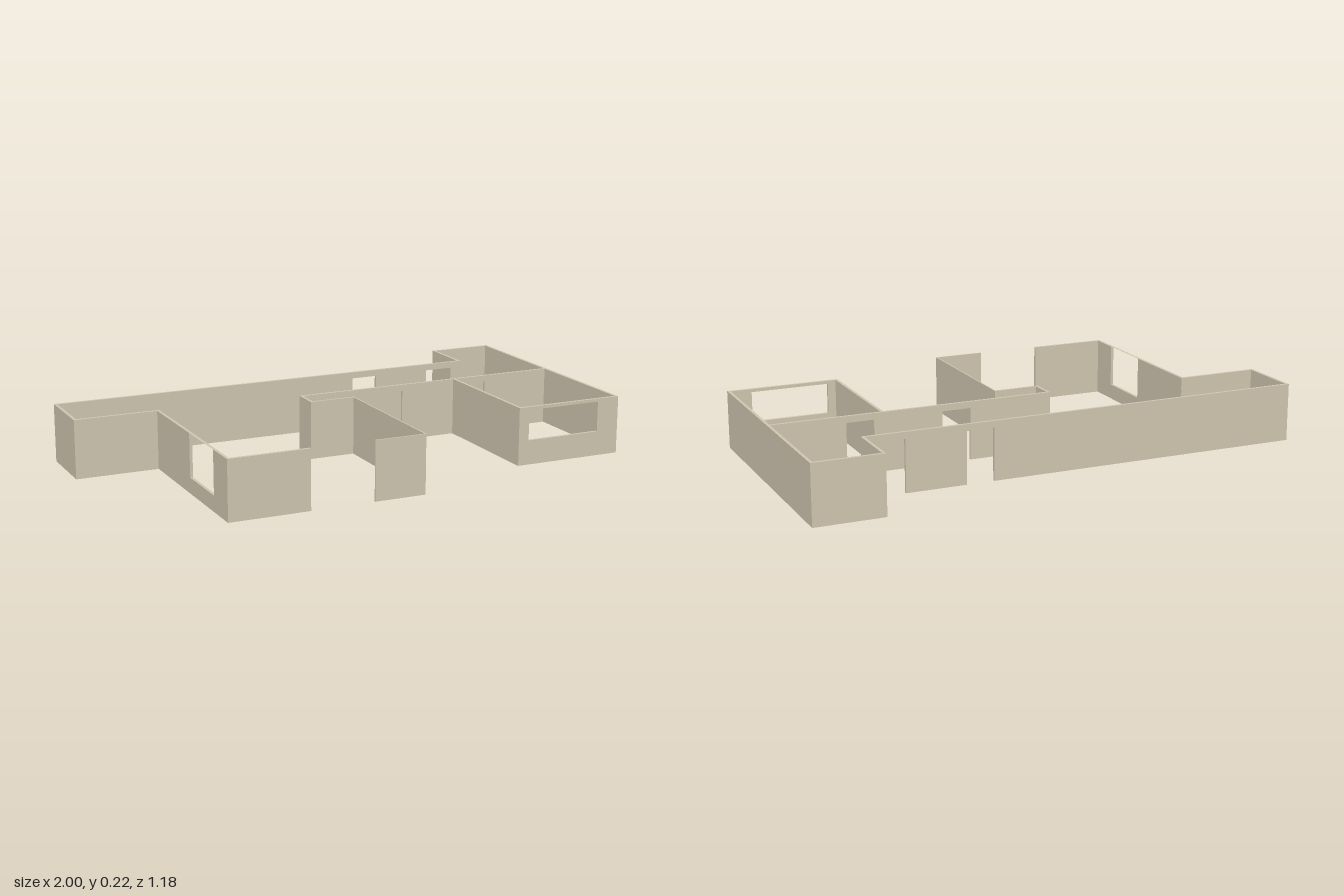
import * as THREE from 'three';

const H = 0.225;      // wall height
const DOOR = 0.2;     // door head height
const T = 0.011;      // standard wall thickness
const THIN = 0.005;   // thin partition thickness

const plaster = new THREE.MeshStandardMaterial({ color: 0xd0c6b0 });
plaster.name = 'plaster';

function hole(a, b, y0, y1) {
  const p = new THREE.Path();
  p.moveTo(a, y0);
  p.lineTo(a, y1);
  p.lineTo(b, y1);
  p.lineTo(b, y0);
  p.closePath();
  return p;
}

// Wall drawn in elevation from a to b: doors notch the bottom edge,
// gaps notch the top edge down to a sill, windows are holes.
function wallGeometry(a, b, thick, { doors = [], gaps = [], windows = [] }) {
  const s = new THREE.Shape();
  s.moveTo(a, 0);
  for (const [d0, d1] of doors) {
    s.lineTo(d0, 0);
    s.lineTo(d0, DOOR);
    s.lineTo(d1, DOOR);
    s.lineTo(d1, 0);
  }
  s.lineTo(b, 0);
  s.lineTo(b, H);
  for (const [g0, g1, sill] of gaps) {
    s.lineTo(g1, H);
    s.lineTo(g1, sill);
    s.lineTo(g0, sill);
    s.lineTo(g0, H);
  }
  s.lineTo(a, H);
  s.closePath();
  for (const w of windows) s.holes.push(hole(...w));
  const g = new THREE.ExtrudeGeometry(s, { depth: thick, bevelEnabled: false });
  return g.translate(0, 0, -thick / 2);
}

export function createModel() {
  const model = new THREE.Group();
  model.name = 'floorPlanWalls';

  // Wall running along x at a given z
  function wallX(name, z, a, b, thick = T, openings = {}) {
    const m = new THREE.Mesh(wallGeometry(a, b, thick, openings), plaster);
    m.name = name;
    m.position.z = z;
    model.add(m);
  }

  // Wall running along z at a given x; openings are mirrored into local -z,
  // so ranges are given as -z, ascending
  function wallZ(name, x, z0, z1, thick = T, openings = {}) {
    const m = new THREE.Mesh(wallGeometry(-z1, -z0, thick, openings), plaster);
    m.name = name;
    m.rotation.y = Math.PI / 2;
    m.position.x = x;
    model.add(m);
  }

  // Long corridor
  wallX('backWall', -0.375, -1, 0.745, T, { doors: [[0.245, 0.352], [0.585, 0.7]] });
  wallZ('corridorEndWall', -0.9945, -0.38, -0.118);
  wallX('corridorReturnWall', -0.123, -1, -0.67);

  // Front wing with two openings above a low sill
  wallZ('wingSideWall', -0.675, -0.128, 0.59, T, {
    gaps: [[-0.46, -0.225, 0.06], [-0.165, 0.085, 0.06]],
  });
  wallX('wingFrontWallRight', 0.5845, -0.68, -0.372);
  wallX('wingFrontWallLeft', 0.5875, -0.125, 0.075, THIN);
  wallZ('wingInnerWall', 0.0725, -0.002, 0.59, THIN);
  wallX('wingStepWall', 0, -0.108, 0.075, 0.008);
  wallZ('wingStepReturn', -0.103, -0.105, 0.004);

  // Middle wall with two doors
  wallX('middleWall', -0.1, -0.108, 0.995, T, { doors: [[0.22, 0.332], [0.6, 0.706]] });

  // Front room with a wide window
  wallZ('frontRoomInnerWall', 0.566, -0.1, 0.42);
  wallX('frontRoomWindowWall', 0.4145, 0.561, 1, T, { windows: [[0.603, 0.908, 0.095, 0.213]] });

  // Outer side wall and back room
  wallZ('outerSideWall', 0.9945, -0.592, 0.42);
  wallX('backRoomWall', -0.5865, 0.735, 1);
  wallZ('backRoomInnerWall', 0.74, -0.592, -0.37);

  return model;
}
